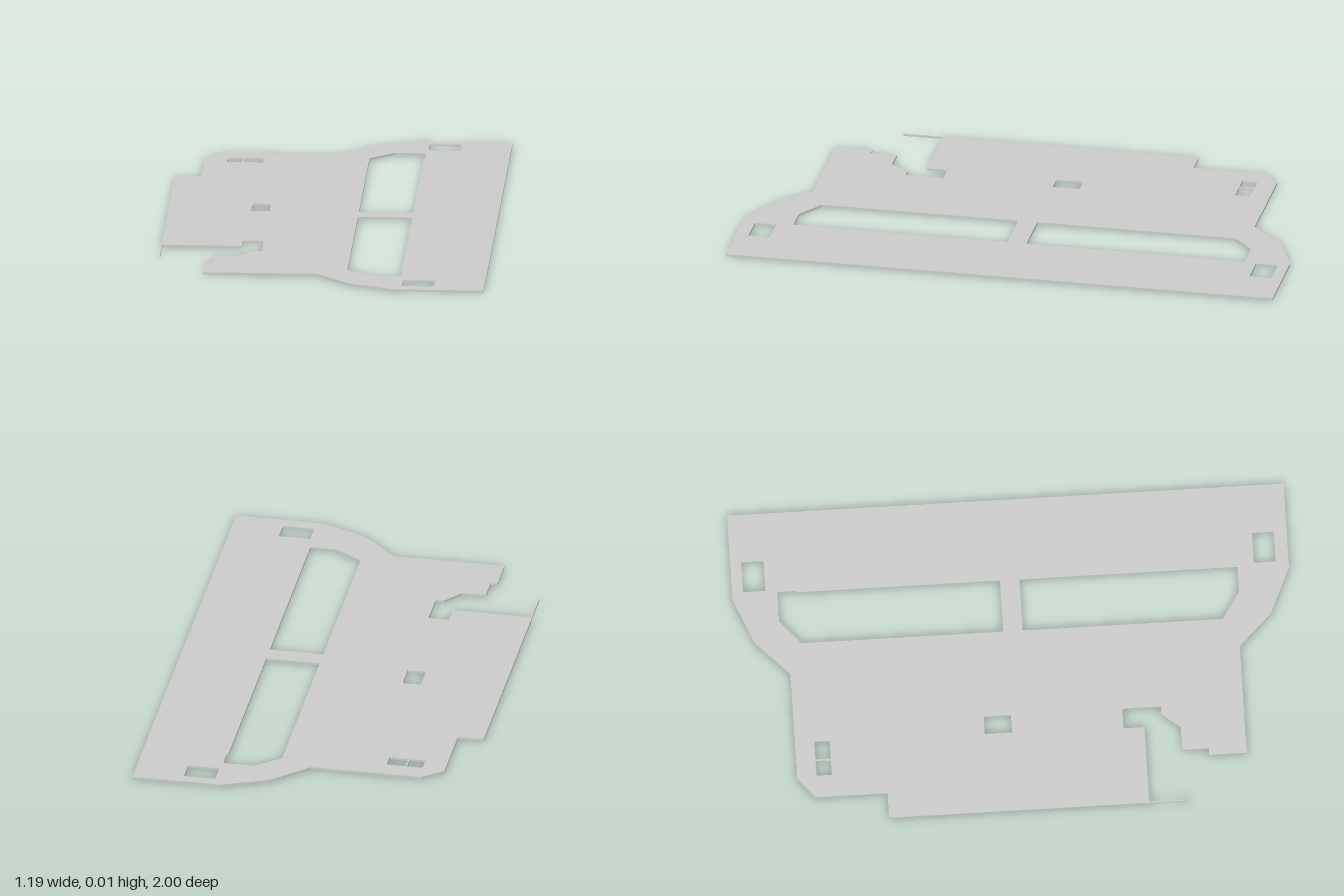
import * as THREE from 'three';

const THICKNESS = 0.008;

// Plan points are [x, z]; the shape's y becomes -z once laid flat
const toPoints = (pts) => pts.map(([x, z]) => new THREE.Vector2(x, -z));
const rect = (x0, x1, z0, z1) => [[x0, z0], [x1, z0], [x1, z1], [x0, z1]];

export function createModel() {
  const group = new THREE.Group();
  group.name = 'floorPlate';

  // Outer edge, including the thin lip at the front of the right side
  const plate = new THREE.Shape(toPoints([
    [0.592, -1], [0.27, -1], [0.1, -0.93], [-0.025, -0.81], [-0.425, -0.81],
    [-0.5, -0.75], [-0.5, -0.49], [-0.594, -0.49], [-0.594, 0.59], [-0.59, 0.59],
    [-0.59, 0.445], [-0.305, 0.445], [-0.305, 0.37], [-0.23, 0.37], [-0.23, 0.508],
    [-0.26, 0.508], [-0.312, 0.575], [-0.4, 0.575], [-0.4, 0.67], [-0.425, 0.67],
    [-0.425, 0.805], [-0.02, 0.805], [0.1, 0.925], [0.27, 1], [0.592, 1],
  ]));

  const openings = [
    // Two long openings either side of the bridge
    [[0.09, -0.038], [0.285, -0.038], [0.285, -0.77], [0.29, -0.77], [0.29, -0.838], [0.178, -0.838], [0.09, -0.763]],
    [[0.09, 0.032], [0.285, 0.032], [0.285, 0.815], [0.19, 0.815], [0.09, 0.75]],
    // Corner slots
    rect(0.297, 0.411, -0.96, -0.88),
    rect(0.297, 0.411, 0.875, 0.953),
    // Twin slots split by a narrow bar
    rect(-0.418, -0.362, -0.74, -0.685),
    rect(-0.356, -0.288, -0.74, -0.685),
    // Middle slot
    rect(-0.296, -0.23, -0.128, -0.03),
  ];
  for (const o of openings) plate.holes.push(new THREE.Path(toPoints(o)));

  const geometry = new THREE.ExtrudeGeometry(plate, { depth: THICKNESS, bevelEnabled: false });
  geometry.rotateX(-Math.PI / 2);

  const mesh = new THREE.Mesh(geometry, new THREE.MeshStandardMaterial({ color: 0xcccccc }));
  mesh.name = 'plate';
  group.add(mesh);
  return group;
}
